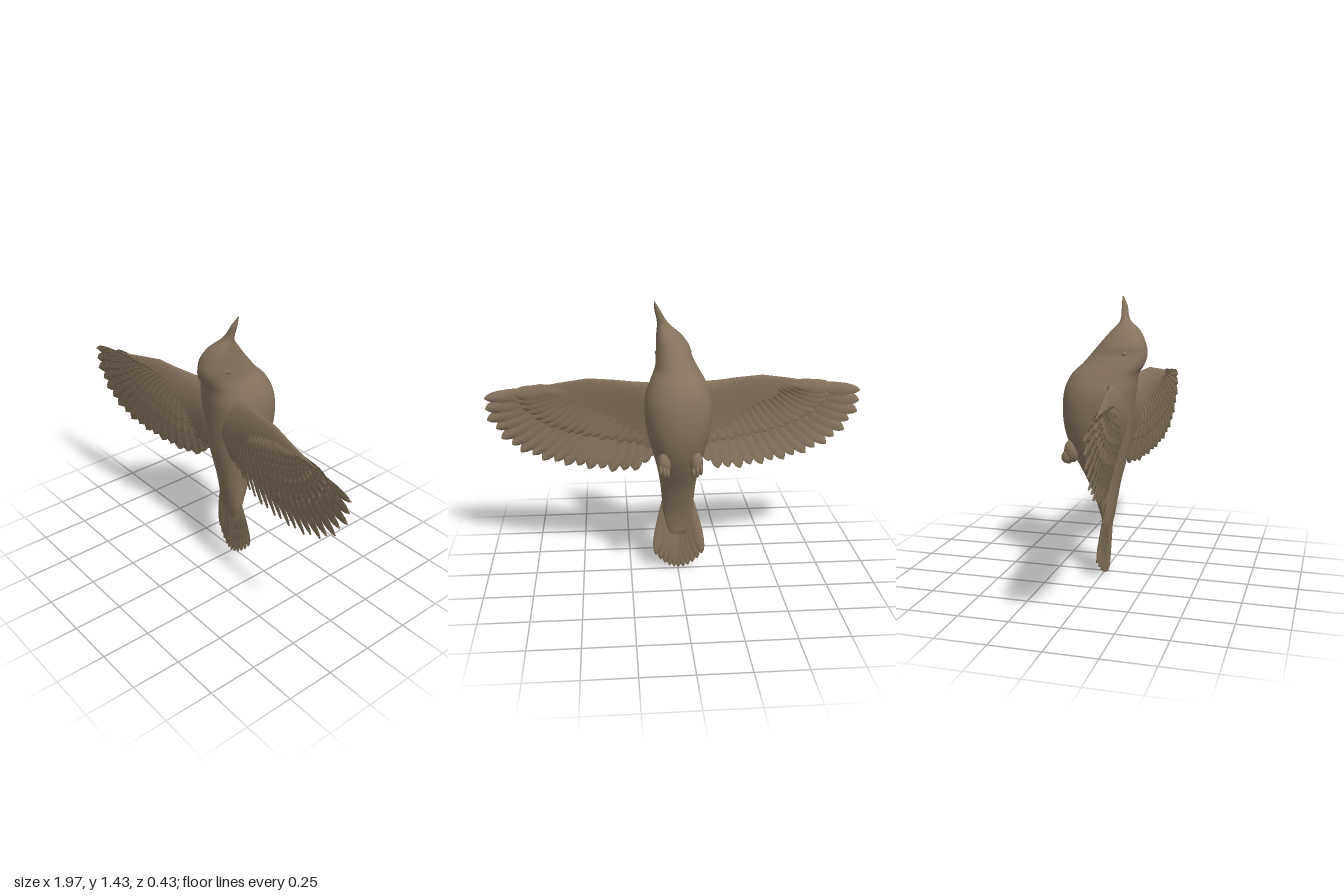
import * as THREE from 'three';

const plumage = new THREE.MeshStandardMaterial({ color: 0x84735c });
plumage.name = 'brown plumage';

const V = (x, y, z = 0) => new THREE.Vector3(x, y, z);

// Closed skin through rings of points, capped at both ends and turned outward
function loft(name, rings) {
  const n = rings[0].length, pts = rings.flat(), idx = [];
  for (let i = 0; i < rings.length - 1; i++) {
    for (let j = 0; j < n; j++) {
      const a = i * n + j, b = i * n + (j + 1) % n;
      idx.push(a, a + n, b, b, a + n, b + n);
    }
  }
  const last = (rings.length - 1) * n;
  for (let j = 1; j < n - 1; j++) {
    idx.push(0, j, j + 1, last, last + j + 1, last + j);
  }
  let volume = 0;
  const cross = V(0, 0);
  for (let k = 0; k < idx.length; k += 3) {
    volume += pts[idx[k]].dot(cross.crossVectors(pts[idx[k + 1]], pts[idx[k + 2]]));
  }
  if (volume < 0) idx.reverse();
  const geo = new THREE.BufferGeometry().setFromPoints(pts);
  geo.setIndex(idx);
  geo.computeVertexNormals();
  const mesh = new THREE.Mesh(geo, plumage);
  mesh.name = name;
  return mesh;
}

// Linear lookup in [key, value] pairs
function lookup(table, k) {
  for (let i = 1; i < table.length; i++) {
    const [k0, v0] = table[i - 1], [k1, v1] = table[i];
    if (k <= k1) return v0 + (v1 - v0) * Math.max(0, (k - k0) / (k1 - k0));
  }
  return table[table.length - 1][1];
}

// Depth of the cambered wing and of the arched tail
const SWEEP = [[0, 0.075], [0.1, 0.082], [0.2, 0.1], [0.3, 0.125], [0.5, 0.15], [0.7, 0.167], [1, 0.176]];
const wingZ = (x, y) => {
  const u = Math.abs(x);
  return lookup(SWEEP, u) + 0.01 - 0.6 * (y - 0.8) ** 2 * (1.2 - u);
};
const tailZ = (x, y) => 0.075 * y - 0.9 * x * x;

// Slim blade with a raised shaft, laid on a surface
const BLADE = [[0, 0.35], [0.2, 0.65], [0.45, 0.9], [0.65, 1], [0.8, 0.95], [0.9, 0.75], [0.96, 0.48], [1, 0.1]];
const SECTION = [[-1, 0], [-0.5, 0.7], [-0.12, 0.8], [0, 1.4], [0.12, 0.8], [0.5, 0.7], [1, 0], [0, -0.8]];
function feather(name, root, tip, half, surface, lift, tilt, thick = 0.005) {
  const dir = tip.clone().sub(root).normalize();
  return loft(name, BLADE.map(([t, w]) => {
    const c = root.clone().lerp(tip, t);
    return SECTION.map(([s, h]) => {
      const x = c.x - dir.y * s * w * half, y = c.y + dir.x * s * w * half;
      return V(x, y, surface(x, y) + lift + tilt * s * w + h * thick);
    });
  }));
}

// Body, head and beak in one smooth skin: y, centre x, half width, back z, belly z
function makeBody() {
  const rows = [
    [0.2, 0, 0.04, 0.022, 0.006], [0.3, 0, 0.072, 0.046, -0.008], [0.4, 0, 0.083, 0.065, -0.042],
    [0.5, 0, 0.092, 0.085, -0.085], [0.6, 0, 0.11, 0.11, -0.14], [0.7, 0, 0.136, 0.13, -0.185],
    [0.8, 0, 0.16, 0.142, -0.209], [0.9, 0, 0.17, 0.152, -0.212], [0.98, 0, 0.163, 0.163, -0.2],
    [1.05, 0, 0.135, 0.172, -0.165], [1.1, 0.003, 0.108, 0.2, -0.112], [1.15, 0.013, 0.092, 0.214, -0.07],
    [1.2, 0.018, 0.084, 0.206, -0.028], [1.25, 0.035, 0.066, 0.182, 0.013], [1.28, 0.05, 0.049, 0.155, 0.04],
    [1.305, 0.063, 0.034, 0.122, 0.06], [1.335, 0.076, 0.023, 0.104, 0.066], [1.385, 0.096, 0.014, 0.092, 0.063],
    [1.43, 0.111, 0.002, 0.068, 0.062],
  ];
  const path = new THREE.CatmullRomCurve3(rows.map(([y, cx, , f, b]) => V(cx, y, (f + b) / 2)), false, 'catmullrom');
  const size = new THREE.CatmullRomCurve3(rows.map(([, , w, f, b]) => V(w, (f - b) / 2)), false, 'catmullrom');
  const round = (v) => Math.sign(v) * Math.abs(v) ** 0.9;
  return loft('body', Array.from({ length: 73 }, (_, i) => {
    const c = path.getPoint(i / 72), r = size.getPoint(i / 72);
    return Array.from({ length: 40 }, (_, j) => {
      const a = j / 40 * Math.PI * 2;
      return V(c.x + r.x * round(Math.cos(a)), c.y, c.z + r.y * round(Math.sin(a)));
    });
  }));
}

function makeWing(side) {
  const wing = new THREE.Group();
  wing.name = side > 0 ? 'leftWing' : 'rightWing';

  // Fleshy arm: x, leading y, trailing y, half thickness
  const stations = [
    [0, 0.98, 0.62, 0.07], [0.1, 1.015, 0.64, 0.065], [0.16, 1.02, 0.655, 0.052], [0.22, 1.02, 0.665, 0.041],
    [0.32, 1.025, 0.68, 0.03], [0.45, 1.03, 0.7, 0.024], [0.6, 1.003, 0.74, 0.018],
    [0.75, 0.972, 0.8, 0.012], [0.9, 0.938, 0.875, 0.006],
  ];
  wing.add(loft('wingArm', stations.map(([x, lead, trail, th]) =>
    Array.from({ length: 24 }, (_, j) => {
      const a = j / 24 * Math.PI * 2;
      const y = (lead + trail) / 2 + (lead - trail) / 2 * Math.cos(a);
      return V(side * x, y, wingZ(x, y) + th * Math.sin(a) * (0.65 + 0.35 * Math.cos(a)));
    }))));

  // Flight feathers fan from wing tip to body, with shorter coverts over and under
  const tips = new THREE.CatmullRomCurve3([
    V(0.985, 0.92), V(0.992, 0.84), V(0.95, 0.76), V(0.89, 0.68), V(0.8, 0.62), V(0.68, 0.575),
    V(0.55, 0.55), V(0.42, 0.535), V(0.3, 0.528), V(0.2, 0.55), V(0.13, 0.62),
  ]).getSpacedPoints(18);
  const roots = new THREE.CatmullRomCurve3([V(0.6, 0.965), V(0.45, 0.96), V(0.3, 0.92), V(0.12, 0.87)]);
  tips.forEach((tip, i) => {
    const root = roots.getPoint(i / 18);
    const end = root.clone().lerp(tip, i % 2 ? 0.975 : 1);
    const flip = (p) => V(side * p.x, p.y);
    const add = (name, reach, half, lift) => wing.add(feather(
      name, flip(root), flip(root.clone().lerp(end, reach)), half, wingZ, lift, 0.008 * side));
    add('flightFeather', 1, i === 0 ? 0.032 : 0.042, 0);
    add('upperCovert', 0.62, 0.036, 0.011);
    add('upperSmallCovert', 0.4, 0.034, 0.017);
    add('underCovert', 0.58, 0.036, -0.011);
  });
  return wing;
}

function makeTail() {
  const tail = new THREE.Group();
  tail.name = 'tail';
  for (let i = 0; i < 11; i++) {
    const s = (i - 5) / 5;
    tail.add(feather('tailFeather', V(0.05 * s, 0.46), V(-0.005 + 0.122 * s, 0.004 + 0.085 * s * s),
      0.03, tailZ, 0.012 * (1 - Math.abs(s)), 0.003 * Math.sign(s), 0.006));
  }
  return tail;
}

// Tucked foot: a rounded thigh with three curled toes
function makeFoot(side) {
  const foot = new THREE.Group();
  foot.name = side > 0 ? 'leftFoot' : 'rightFoot';
  const lump = (name, x, y, z, sx, sy, sz) => {
    const mesh = new THREE.Mesh(new THREE.SphereGeometry(1, 14, 10), plumage);
    mesh.name = name;
    mesh.position.set(side * x, y, z);
    mesh.scale.set(sx, sy, sz);
    foot.add(mesh);
  };
  lump('thigh', 0.08, 0.66, -0.15, 0.034, 0.06, 0.042);
  for (let k = -1; k <= 1; k++) {
    lump('toe', 0.082 + k * 0.018, 0.625 + 0.008 * k, -0.183 + 0.008 * k * k, 0.011, 0.03, 0.024);
  }
  return foot;
}

export function createModel() {
  const bird = new THREE.Group();
  bird.name = 'bird';
  bird.add(makeBody(), makeTail());
  for (const side of [1, -1]) {
    bird.add(makeWing(side), makeFoot(side));
    const eye = new THREE.Mesh(new THREE.SphereGeometry(0.014, 12, 8), plumage);
    eye.name = side > 0 ? 'leftEye' : 'rightEye';
    eye.position.set(0.014 + side * 0.08, 1.16, 0.115);
    bird.add(eye);
  }
  return bird;
}
